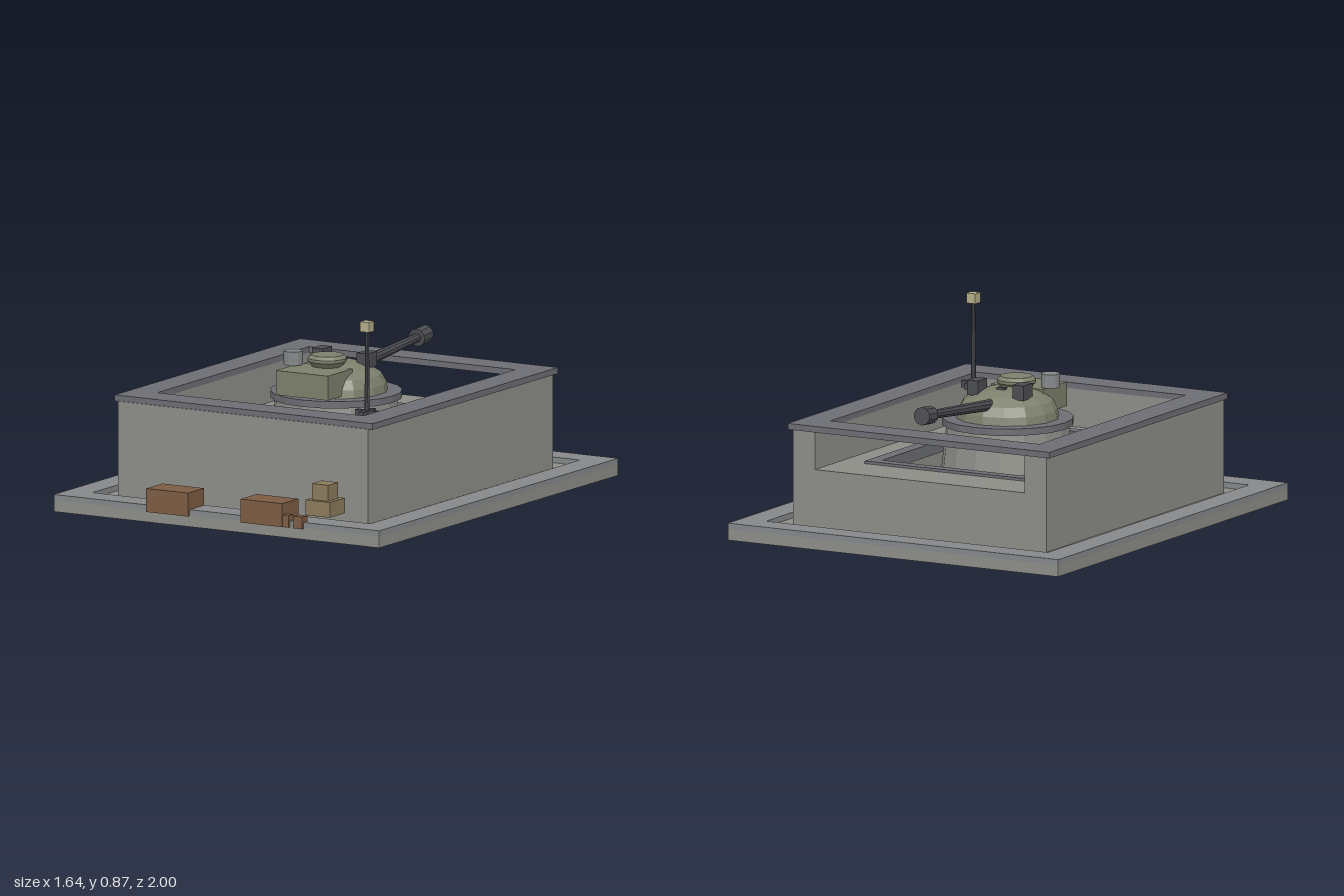
import * as THREE from 'three';

const mat = (color) => new THREE.MeshStandardMaterial({ color, flatShading: true });
const M = {
  rim: mat(0x85888a), concrete: mat(0x8d8d88), cap: mat(0x6d6e74), pit: mat(0x56565b),
  steel: mat(0x4c4d52), armour: mat(0x7c806c), crate: mat(0x7c5c44), tan: mat(0x8c7b5c), lamp: mat(0xb4ad88),
};

export function createModel() {
  const root = new THREE.Group();

  const add = (name, geo, material, x = 0, y = 0, z = 0, parent = root) => {
    const mesh = new THREE.Mesh(geo, material);
    mesh.name = name;
    mesh.position.set(x, y, z);
    parent.add(mesh);
    return mesh;
  };
  // box given by its extents on each axis
  const box = (name, m, [x0, x1], [y0, y1], [z0, z1], parent) =>
    add(name, new THREE.BoxGeometry(x1 - x0, y1 - y0, z1 - z0), m,
      (x0 + x1) / 2, (y0 + y1) / 2, (z0 + z1) / 2, parent);
  // upright cylinder or cone
  const drum = (name, m, rTop, rBottom, [y0, y1], x, z, sides, parent) =>
    add(name, new THREE.CylinderGeometry(rTop, rBottom, y1 - y0, sides), m, x, (y0 + y1) / 2, z, parent);
  // flat rectangular frame: half width and z range, outside and inside
  const frame = (name, m, [ox, oz0, oz1], [ix, iz0, iz1], [y0, y1]) => {
    const rect = (P, w, a, b) => {
      const p = new P();
      p.moveTo(-w, -b); p.lineTo(w, -b); p.lineTo(w, -a); p.lineTo(-w, -a); p.closePath();
      return p;
    };
    const shape = rect(THREE.Shape, ox, oz0, oz1);
    shape.holes.push(rect(THREE.Path, ix, iz0, iz1));
    const geo = new THREE.ExtrudeGeometry(shape, { depth: y1 - y0, bevelEnabled: false });
    geo.rotateX(-Math.PI / 2);
    return add(name, geo, m, 0, y0, 0);
  };

  // base slab with a raised rim
  box('baseSlab', M.concrete, [-0.82, 0.82], [0, 0.05], [-1, 0.985]);
  frame('baseRim', M.rim, [0.82, -1, 0.985], [0.7, -0.88, 0.86], [0.05, 0.075]);

  // walls: the rear one stops at a sill and leaves a wide firing slot
  for (const s of [-1, 1]) {
    const xs = s < 0 ? [-0.63, -0.52] : [0.52, 0.63];
    box(s < 0 ? 'rightWall' : 'leftWall', M.concrete, xs, [0.05, 0.467], [-0.77, 0.765]);
  }
  box('frontWall', M.concrete, [-0.52, 0.52], [0.05, 0.467], [0.62, 0.765]);
  box('rearSill', M.concrete, [-0.52, 0.52], [0.05, 0.3], [-0.77, -0.64]);
  frame('wallCap', M.cap, [0.65, -0.78, 0.76], [0.52, -0.64, 0.62], [0.465, 0.492]);

  // inner floor around the pit, with its dark kerb
  frame('innerFloor', M.concrete, [0.52, -0.64, 0.62], [0.4, -0.545, 0.53], [0.05, 0.3]);
  frame('pitKerb', M.cap, [0.402, -0.547, 0.532], [0.345, -0.495, 0.475], [0.26, 0.312]);
  box('pitFloor', M.pit, [-0.4, 0.4], [0.05, 0.08], [-0.545, 0.53]);
  box('lowerStep', M.concrete, [-0.11, 0.11], [0.08, 0.15], [0.28, 0.39]);
  box('upperStep', M.concrete, [-0.11, 0.11], [0.08, 0.22], [0.385, 0.485]);
  drum('pitDrum', M.rim, 0.06, 0.06, [0.08, 0.2], -0.34, 0.47, 14);

  // turret pedestal and collar
  drum('pedestal', M.concrete, 0.265, 0.305, [0.08, 0.43], 0, -0.01, 16);
  drum('collar', M.cap, 0.285, 0.285, [0.425, 0.455], 0, -0.01, 20);

  // turret
  const turret = new THREE.Group();
  turret.name = 'turret';
  root.add(turret);
  const domeProfile = [[0.225, 0.45], [0.217, 0.49], [0.195, 0.53], [0.15, 0.56], [0.09, 0.58], [0, 0.588]]
    .map(([r, y]) => new THREE.Vector2(r, y));
  add('dome', new THREE.LatheGeometry(domeProfile, 14), M.armour, 0, 0, -0.01, turret);
  box('bustle', M.armour, [-0.13, 0.13], [0.465, 0.572], [0.07, 0.275], turret);
  const hatchProfile = [[0.065, 0.57], [0.085, 0.595], [0.085, 0.608], [0.07, 0.622], [0, 0.622]]
    .map(([r, y]) => new THREE.Vector2(r, y));
  add('hatch', new THREE.LatheGeometry(hatchProfile, 14), M.armour, 0, 0, 0.065, turret);
  drum('ventilator', M.rim, 0.041, 0.041, [0.575, 0.635], -0.135, 0.125, 12, turret);
  for (const s of [-1, 1])
    box('periscope', M.steel, [s * 0.113 - 0.027, s * 0.113 + 0.027], [0.555, 0.62], [-0.118, -0.038], turret);
  box('gunSight', M.steel, [-0.02, 0.02], [0.57, 0.592], [-0.07, -0.05], turret);

  // gun, raised slightly and pointing to the rear
  const gun = new THREE.Group();
  gun.name = 'gun';
  gun.position.set(0, 0.53, -0.14);
  gun.rotation.x = -Math.PI / 2 + 0.085;
  turret.add(gun);
  drum('barrel', M.steel, 0.019, 0.026, [0, 0.58], 0, 0, 10, gun);
  drum('muzzleBrake', M.steel, 0.04, 0.04, [0.54, 0.615], 0, 0, 10, gun);

  // mast standing on the inner floor
  drum('mastPost', M.steel, 0.022, 0.028, [0.3, 0.46], 0.445, 0.467, 8);
  box('mastCrossX', M.steel, [0.39, 0.5], [0.455, 0.485], [0.455, 0.479]);
  box('mastCrossZ', M.steel, [0.433, 0.457], [0.455, 0.485], [0.412, 0.522]);
  drum('mast', M.steel, 0.008, 0.012, [0.46, 0.84], 0.445, 0.467, 8);
  box('mastLamp', M.lamp, [0.423, 0.467], [0.83, 0.874], [0.445, 0.489]);

  // crates at the front
  box('crate', M.crate, [-0.345, -0.135], [0.047, 0.15], [0.865, 1]);
  box('crate', M.crate, [0.13, 0.34], [0.047, 0.15], [0.865, 1]);
  box('smallCrate', M.crate, [0.27, 0.37], [0.047, 0.1], [0.957, 0.997]);
  box('smallCrate', M.crate, [0.395, 0.44], [0.047, 0.1], [0.955, 0.998]);
  box('lowerTanBox', M.tan, [0.412, 0.535], [0.095, 0.162], [0.8, 0.925]);
  box('upperTanBox', M.tan, [0.433, 0.515], [0.162, 0.232], [0.822, 0.905]);

  return root;
}
